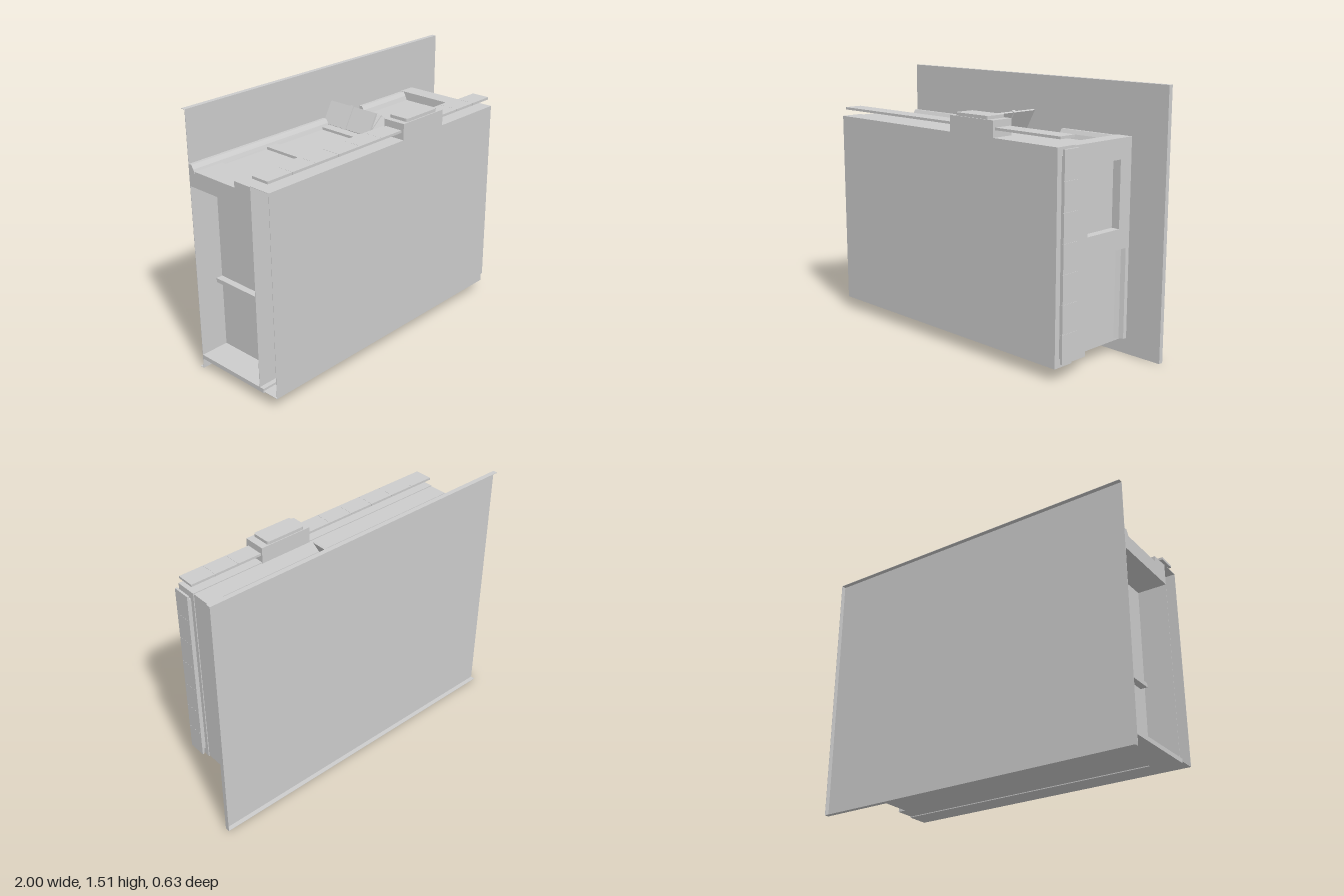
import * as THREE from 'three';

export function createModel() {
  const model = new THREE.Group();
  model.name = 'buildingSection';
  const stone = new THREE.MeshStandardMaterial({ color: 0xcccccc, side: THREE.DoubleSide });
  stone.name = 'stone grey';

  const add = (name, geometry, parent = model) => {
    const mesh = new THREE.Mesh(geometry, stone);
    mesh.name = name;
    parent.add(mesh);
    return mesh;
  };
  // Box from its minimum and maximum on each axis
  const box = (name, x0, x1, y0, y1, z0, z1, parent) => {
    const mesh = add(name, new THREE.BoxGeometry(x1 - x0, y1 - y0, z1 - z0), parent);
    mesh.position.set((x0 + x1) / 2, (y0 + y1) / 2, (z0 + z1) / 2);
    return mesh;
  };
  // Prism along x from a (z, y) outline
  const prismX = (name, x0, x1, points) => {
    const shape = new THREE.Shape(points.map(([z, y]) => new THREE.Vector2(-z, y)));
    const g = new THREE.ExtrudeGeometry(shape, { depth: x1 - x0, bevelEnabled: false });
    g.rotateY(Math.PI / 2);
    g.translate(x0, 0, 0);
    return add(name, g);
  };

  // Back plate: a thin sheet with rims turned backwards
  const t = 0.002;
  box('backPlate', -1, 1, 0, 1.513, -0.285 - t, -0.285);
  box('plateTopRim', -1, 1, 1.513 - t, 1.513, -0.313, -0.285);
  box('plateBottomRim', -1, 1, 0, t, -0.313, -0.285);
  box('plateSideRim', 1 - t, 1, 0, 1.513, -0.313, -0.285);

  // Hollow front slab, open at the left-hand end
  box('slabFront', -1, 0.775, 0.07, 1.23, 0.313 - t, 0.313);
  box('slabBack', -1, 0.775, 0.07, 1.23, 0.18, 0.18 + t);
  box('slabTop', -1, 0.775, 1.23 - t, 1.23, 0.18, 0.313);
  box('slabBottom', -1, 0.775, 0.07, 0.07 + t, 0.18, 0.313);
  box('slabEnd', 0.775 - t, 0.775, 0.07, 1.23, 0.18, 0.313);

  // Floor, with a lower strip at the open end
  box('floor', -0.84, 0.72, 0.075, 0.085, -0.285, 0.18);
  box('floorStrip', -1, -0.84, 0.06, 0.085, -0.285, 0.21);

  // Right end wall with recessed window and door
  box('endWallPanel', 0.67, 0.72, 0.075, 1.225, -0.285, 0.065);
  box('endWallPier', 0.67, 0.77, 0.075, 1.225, 0.065, 0.18);
  box('windowLintel', 0.72, 0.77, 1.11, 1.225, -0.285, 0.065);
  box('windowJamb', 0.72, 0.77, 0.73, 1.11, -0.285, -0.195);
  box('doorLintel', 0.72, 0.77, 0.615, 0.73, -0.285, 0.065);
  const cove = new THREE.Shape([[0.72, 0.235], [0.72, 0.285], [0.77, 0.285], [0.765, 0.265], [0.74, 0.255]]
    .map(p => new THREE.Vector2(...p)));
  const coveGeometry = new THREE.ExtrudeGeometry(cove, { depth: 0.525, bevelEnabled: false });
  coveGeometry.rotateX(-Math.PI / 2);
  add('doorCove', coveGeometry).position.set(0, 0.09, 0);

  // Left cross wall set in from the open end, with a ledge and a corner block
  box('crossWall', -0.83, -0.81, 0.085, 1.1, -0.285, 0.18);
  box('crossWallLedge', -0.87, -0.83, 0.49, 0.515, -0.285, 0.13);
  box('cornerBlock', -0.89, -0.83, 0.085, 0.15, 0.12, 0.18);

  // Sunken roof with raised beams and a cove along the back plate
  box('roofLedge', -1, 0.67, 1.1, 1.225, 0.065, 0.18);
  for (const [x0, x1] of [[-1, -0.02], [0.285, 0.67]]) {
    box('roofDeck', x0, x1, 1.1, 1.175, -0.285, 0.065);
    prismX('roofCove', x0, x1, [[-0.285, 1.175], [-0.24, 1.175], [-0.25, 1.2], [-0.265, 1.222], [-0.285, 1.222]]);
  }
  for (const [x0, x1] of [[-1, -0.82], [-0.505, -0.435], [-0.075, -0.02]]) {
    box('roofBeam', x0, x1, 1.175, 1.19, -0.24, 0.065);
  }

  // Trapdoor leaves, one raised and one hanging, each with a strap
  const leaf = (name, x0, y0, x1, y1) => {
    const group = new THREE.Group();
    group.name = name;
    const length = Math.hypot(x1 - x0, y1 - y0);
    box('leafBoard', 0, length, -0.006, 0.006, -0.285, 0.06, group);
    box('leafStrap', -0.005, length + 0.005, -0.012, 0.012, -0.13, -0.108, group);
    group.position.set(x0, y0, 0);
    group.rotation.z = Math.atan2(y1 - y0, x1 - x0);
    model.add(group);
  };
  leaf('raisedTrapdoor', -0.015, 1.19, 0.052, 1.308);
  leaf('hangingTrapdoor', 0.285, 1.19, 0.172, 1.1);
  box('interiorChest', 0.05, 0.15, 0.085, 0.2, -0.285, -0.19);
  box('interiorPost', 0.06, 0.08, 0.085, 0.13, -0.19, -0.1);

  // Row of thin coping tiles held just above the slab, either side of the crown block
  const topTiles = (x0, x1, count) => {
    const step = (x1 - x0) / count;
    for (let i = 0; i < count; i++) {
      box('copingTile', x0 + i * step, x0 + (i + 1) * step - 0.001, 1.269, 1.283, 0.187, 0.297);
    }
  };
  topTiles(-0.99, -0.015, 6);
  topTiles(0.32, 0.778, 3);

  // Column of the same tiles down the right edge
  box('sideTileBed', 0.775, 0.797, 0.12, 1.185, 0.205, 0.28);
  const sideStep = (1.222 - 0.1) / 7;
  for (let i = 0; i < 7; i++) {
    box('sideTile', 0.797, 0.81, 0.1 + i * sideStep, 0.1 + (i + 1) * sideStep - 0.001, 0.187, 0.297);
  }

  // Crown block with a rounded cap
  box('crownBlock', -0.015, 0.32, 1.225, 1.322, 0.175, 0.313);
  const w = 0.127, d = 0.063, r = 0.015;
  const cap = new THREE.Shape();
  cap.moveTo(-w + r, -d);
  cap.lineTo(w - r, -d);
  cap.quadraticCurveTo(w, -d, w, -d + r);
  cap.lineTo(w, d - r);
  cap.quadraticCurveTo(w, d, w - r, d);
  cap.lineTo(-w + r, d);
  cap.quadraticCurveTo(-w, d, -w, d - r);
  cap.lineTo(-w, -d + r);
  cap.quadraticCurveTo(-w, -d, -w + r, -d);
  const capGeometry = new THREE.ExtrudeGeometry(cap, { depth: 0.018, bevelEnabled: false, curveSegments: 4 });
  capGeometry.rotateX(-Math.PI / 2);
  add('crownCap', capGeometry).position.set(0.148, 1.322, 0.243);

  return model;
}
